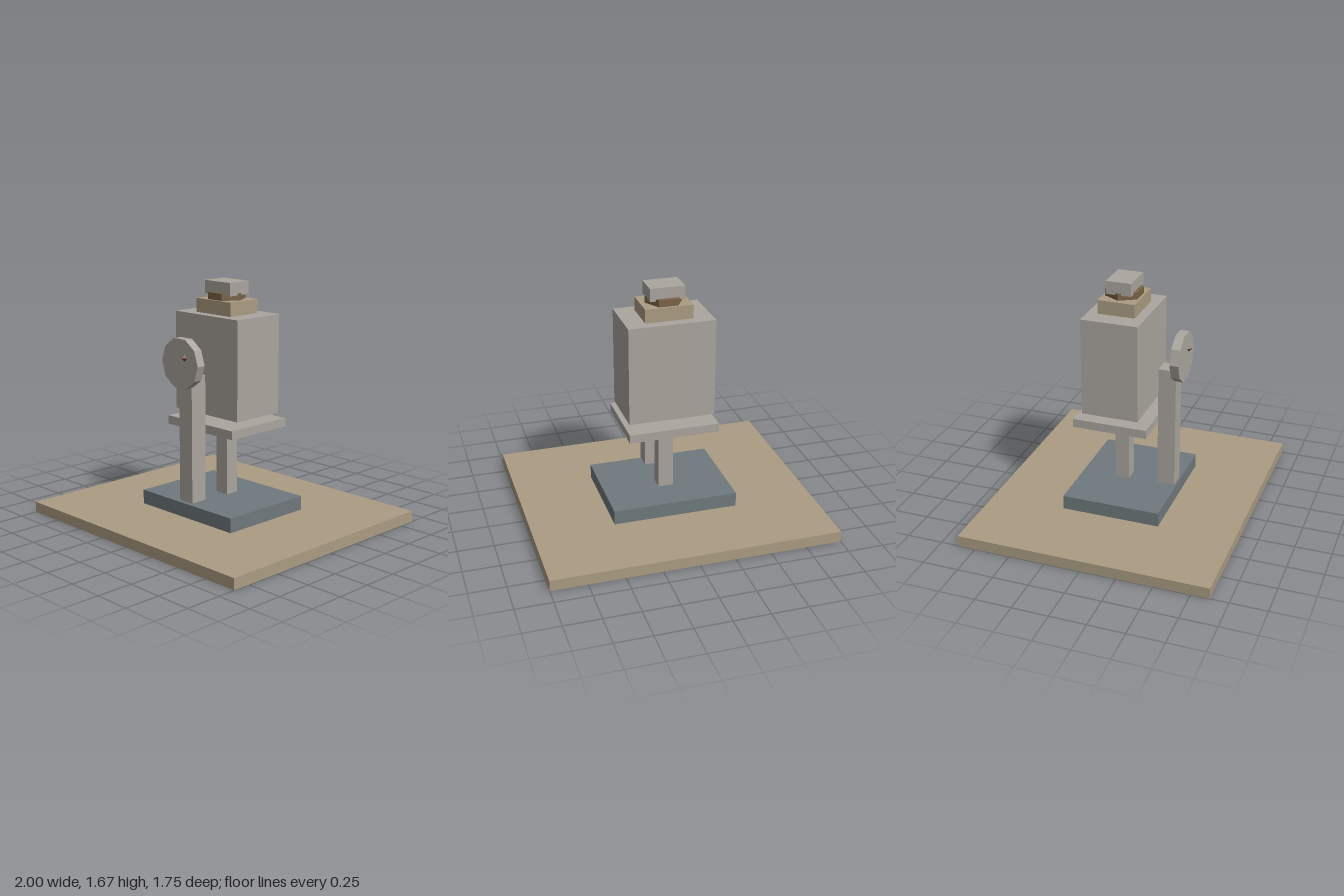
import * as THREE from 'three';

const material = (name, color) => {
  const m = new THREE.MeshStandardMaterial({ color, flatShading: true });
  m.name = name;
  return m;
};

export function createModel() {
  const model = new THREE.Group();
  model.name = 'pedestalMachine';

  const tan = material('tan', 0xab9c83);
  const grey = material('warmGrey', 0xaba59e);
  const slate = material('slate', 0x6f797d);
  const brown = material('brown', 0x7b6347);
  const darkBrown = material('darkBrown', 0x6a4732);

  const add = (name, geometry, mat, x, y, z) => {
    const mesh = new THREE.Mesh(geometry, mat);
    mesh.name = name;
    mesh.position.set(x, y, z);
    model.add(mesh);
    return mesh;
  };

  // Box given by its width, its bottom and top, and its back and front
  const box = (name, mat, width, y0, y1, z0, z1) =>
    add(name, new THREE.BoxGeometry(width, y1 - y0, z1 - z0), mat, 0, (y0 + y1) / 2, (z0 + z1) / 2);

  // Ground board and plinth
  box('groundBoard', tan, 2, 0, 0.077, -0.875, 0.875);
  box('plinth', slate, 0.875, 0.077, 0.177, -0.345, 0.345);

  // Supports and shelf
  box('rearPost', grey, 0.106, 0.177, 0.652, -0.1, 0);
  box('frontPost', grey, 0.122, 0.19, 1.063, 0.213, 0.337);
  box('shelf', grey, 0.625, 0.66, 0.72, -0.31, 0.212);

  // Main housing, with its stepped top
  box('housing', grey, 0.597, 0.767, 1.45, -0.25, 0.148);
  box('collar', tan, 0.33, 1.45, 1.545, -0.18, 0.08);
  const nut = new THREE.CylinderGeometry(0.131, 0.131, 0.047, 6, 1, false, Math.PI / 2);
  add('hexNut', nut, brown, 0, 1.5685, -0.05);
  box('topCap', grey, 0.24, 1.578, 1.668, -0.138, 0.04);

  // Ten-sided wheel on the front post, with its small knob
  const wheel = new THREE.CylinderGeometry(0.174, 0.174, 0.062, 10, 1, false, Math.PI / 2);
  wheel.rotateX(Math.PI / 2);
  add('wheel', wheel, grey, 0, 1.155, 0.356);
  add('wheelKnob', new THREE.OctahedronGeometry(0.027), darkBrown, 0.048, 1.2, 0.386);

  return model;
}
